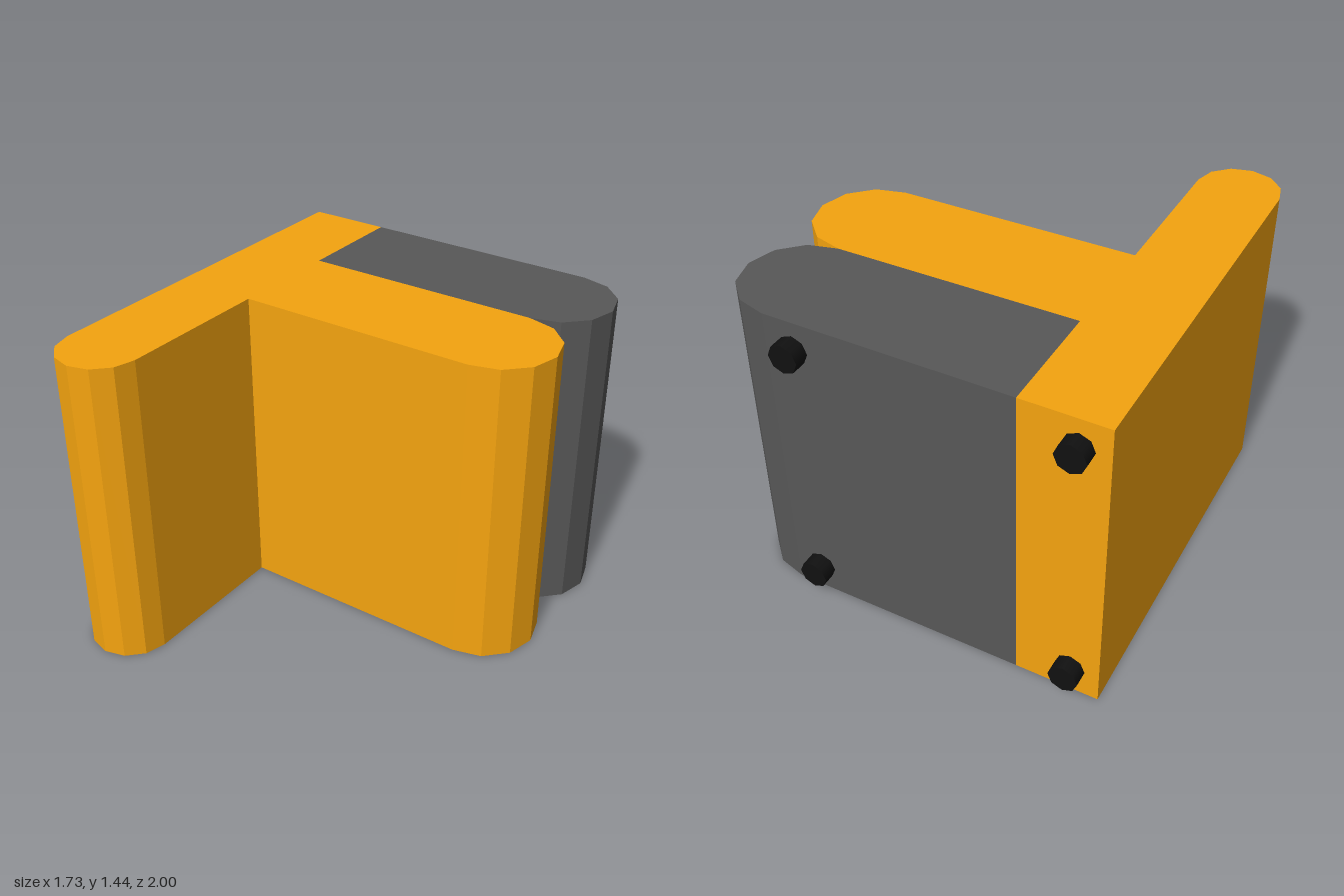
import * as THREE from 'three';

const HEIGHT = 1.44;
const BACK = -0.93;

// Points along a faceted half-round end, in plan (x, z)
function roundEnd(cx, cz, r, startAngle) {
  const pts = [];
  for (let i = 0; i <= 6; i++) {
    const a = startAngle + (i * Math.PI) / 6;
    pts.push(new THREE.Vector2(cx + r * Math.cos(a), cz + r * Math.sin(a)));
  }
  return pts;
}

// Upright prism from a plan outline
function prism(name, outline, color) {
  const geo = new THREE.ExtrudeGeometry(new THREE.Shape(outline), { depth: HEIGHT, bevelEnabled: false });
  geo.rotateX(Math.PI / 2).translate(0, HEIGHT, 0);
  const mesh = new THREE.Mesh(geo, new THREE.MeshStandardMaterial({ color, flatShading: true }));
  mesh.name = name;
  return mesh;
}

export function createModel() {
  const model = new THREE.Group();
  model.name = 'bracket';
  const p = (x, z) => new THREE.Vector2(x, z);

  // Main body: long side wall with a perpendicular arm
  model.add(prism('bracketBody', [
    p(-0.865, BACK), p(-0.49, BACK), p(-0.49, -0.413),
    ...roundEnd(0.602, -0.154, 0.259, -Math.PI / 2),
    p(-0.49, 0.105),
    ...roundEnd(-0.6775, 0.8125, 0.1875, 0),
  ], 0xf5a40f));

  // Grey block filling the back corner
  model.add(prism('backBlock', [
    p(-0.49, BACK),
    ...roundEnd(0.602, -0.6715, 0.2585, -Math.PI / 2),
    p(-0.49, -0.413),
  ], 0x585858));

  // Four studs on the back face
  const studGeo = new THREE.CylinderGeometry(0.066, 0.066, 0.08, 8).rotateX(Math.PI / 2);
  const studMat = new THREE.MeshStandardMaterial({ color: 0x111111 });
  for (const x of [-0.735, 0.473]) {
    for (const y of [0.13, 1.31]) {
      const stud = new THREE.Mesh(studGeo, studMat);
      stud.name = 'backStud';
      stud.position.set(x, y, -0.96);
      model.add(stud);
    }
  }
  return model;
}
